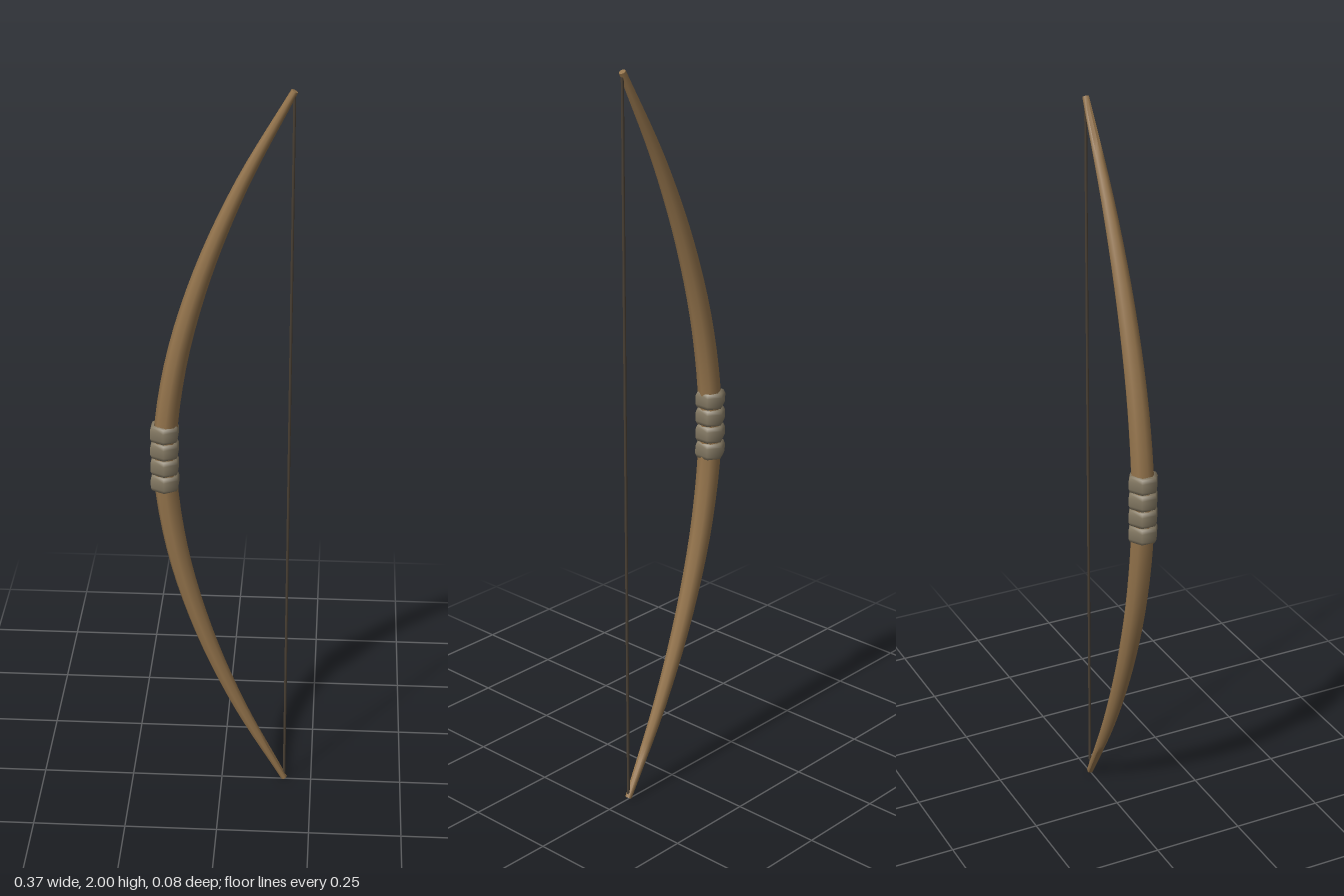
import * as THREE from 'three';
import { toCreasedNormals } from 'three/addons/utils/BufferGeometryUtils.js';

const TIP_X = 0.175;
const GRIP_X = -0.15;

function part(name, geometry, color) {
  const mesh = new THREE.Mesh(geometry, new THREE.MeshStandardMaterial({ color }));
  mesh.name = name;
  return mesh;
}

// Eight-sided stave, bent along a curve and tapered towards both tips
function staveGeometry() {
  const points = [];
  for (let t = -4; t <= 4; t++) {
    const x = GRIP_X + (TIP_X - GRIP_X) * Math.abs(t / 4) ** 1.8;
    points.push(new THREE.Vector3(x, 1 + 0.996 * t / 4, 0));
  }
  const curve = new THREE.CatmullRomCurve3(points);
  const geo = new THREE.CylinderGeometry(1, 1, 1, 8, 40);
  const pos = geo.attributes.position;
  for (let i = 0; i < pos.count; i++) {
    const u = THREE.MathUtils.clamp(pos.getY(i) + 0.5, 0, 1);
    const centre = curve.getPointAt(u);
    const tangent = curve.getTangentAt(u);
    const r = 0.031 - 0.022 * Math.abs(2 * u - 1) ** 1.7;
    pos.setXYZ(i,
      centre.x + tangent.y * pos.getX(i) * r,
      centre.y - tangent.x * pos.getX(i) * r,
      pos.getZ(i) * r);
  }
  return toCreasedNormals(geo, THREE.MathUtils.degToRad(60));
}

// One rounded wrap with a hexagonal outline
function wrapGeometry() {
  const profile = [
    [0.03, -0.0237], [0.037, -0.021], [0.0415, -0.011],
    [0.0415, 0.011], [0.037, 0.021], [0.03, 0.0237],
  ].map(([r, y]) => new THREE.Vector2(r, y));
  return new THREE.LatheGeometry(profile, 6);
}

export function createModel() {
  const model = new THREE.Group();
  model.name = 'bow';

  model.add(part('stave', staveGeometry(), 0x94744c));

  // Grip: a stack of four wraps
  const grip = new THREE.Group();
  grip.name = 'grip';
  const ring = wrapGeometry();
  for (let i = 0; i < 4; i++) {
    const wrap = part('gripWrap', ring, 0x857a64);
    wrap.material.side = THREE.DoubleSide;
    wrap.position.set(GRIP_X, 1.005 + (i - 1.5) * 0.0474, 0);
    grip.add(wrap);
  }
  model.add(grip);

  // Bowstring between the tips
  const string = part('string', new THREE.CylinderGeometry(0.004, 0.004, 1.985, 6), 0x4a4034);
  string.position.set(TIP_X, 1, 0);
  model.add(string);

  return model;
}
